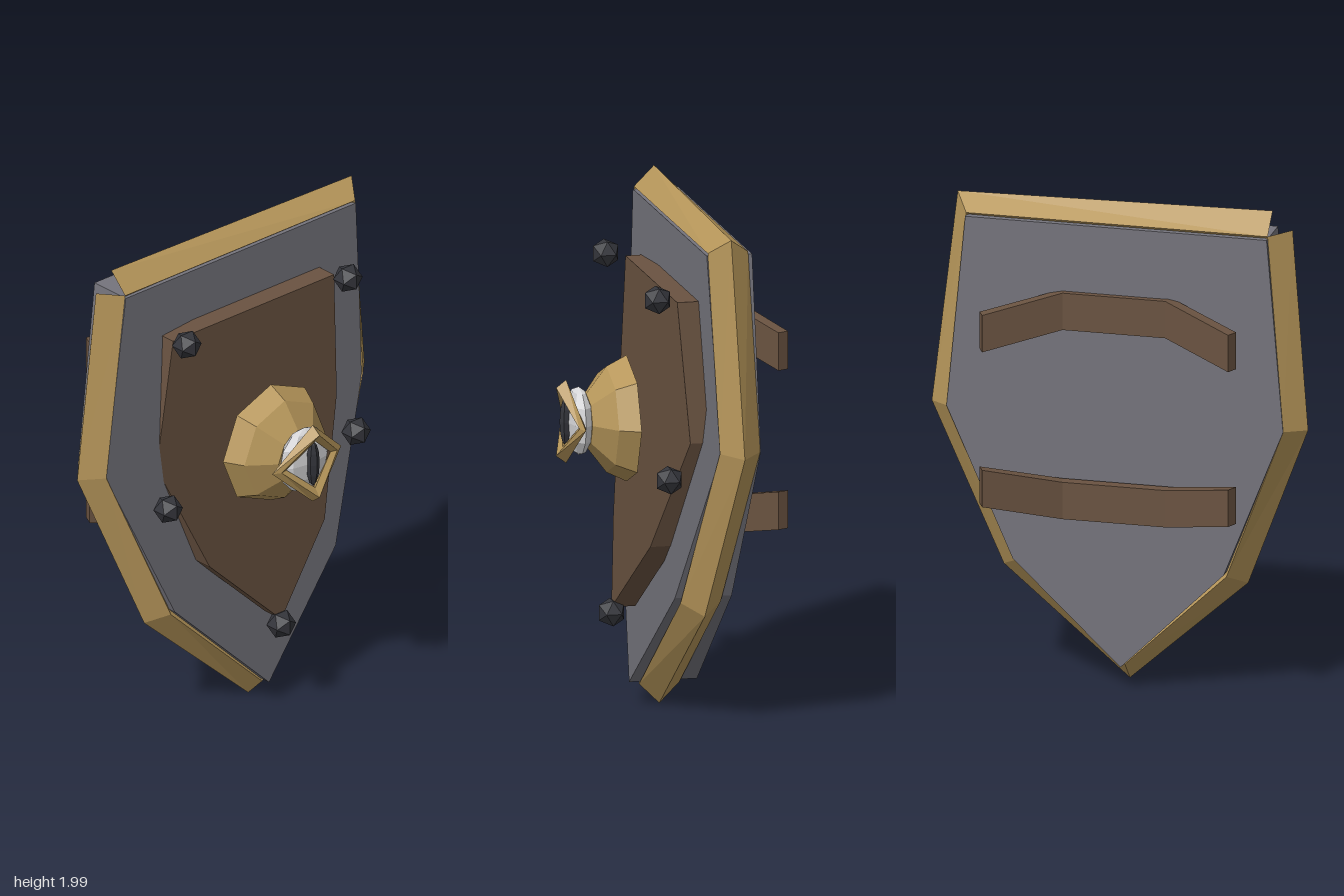
import * as THREE from 'three';

const paint = (name, color) => {
  const m = new THREE.MeshStandardMaterial({ color });
  m.name = name;
  return m;
};

// Faceted copy of a geometry: one normal per face
function faceted(geo) {
  const g = geo.index ? geo.toNonIndexed() : geo;
  g.computeVertexNormals();
  return g;
}

// Skin over rings of points; each ring turns counter-clockwise about the travel direction
function loft(rings, closed = false, caps = false) {
  const pos = [];
  const tri = (...pts) => pts.forEach(p => pos.push(p.x, p.y, p.z));
  const n = rings[0].length;
  const count = closed ? rings.length : rings.length - 1;
  for (let i = 0; i < count; i++) {
    const a = rings[i], b = rings[(i + 1) % rings.length];
    for (let j = 0; j < n; j++) {
      const k = (j + 1) % n;
      tri(a[j], a[k], b[k]);
      tri(a[j], b[k], b[j]);
    }
  }
  if (caps) {
    const s = rings[0], e = rings[rings.length - 1];
    for (let j = 1; j < n - 1; j++) {
      tri(s[0], s[j + 1], s[j]);
      tri(e[0], e[j], e[j + 1]);
    }
  }
  const g = new THREE.BufferGeometry();
  g.setAttribute('position', new THREE.Float32BufferAttribute(pos, 3));
  g.computeVertexNormals();
  return g;
}

// Shield-shaped plate from half an outline [z, y], bent backwards towards its sides
function bentPlate(half, back, front, backBend, frontBend) {
  const mirrored = half.slice(0, -1).reverse().map(([z, y]) => [-z, y]);
  const shape = new THREE.Shape([...half, ...mirrored].map(p => new THREE.Vector2(...p)));
  const g = new THREE.ExtrudeGeometry(shape, { depth: 1, bevelEnabled: false });
  g.rotateY(Math.PI / 2);
  const p = g.attributes.position;
  for (let i = 0; i < p.count; i++) {
    const z2 = p.getZ(i) ** 2;
    p.setX(i, p.getX(i) > 0.5 ? front - frontBend * z2 : back - backBend * z2);
  }
  return g;
}

// Open diamond-section moulding that follows the shield edge
function rimGeometry() {
  const path = [[0.6, 1.92], [-0.6, 1.92], [-0.67, 1.14], [-0.42, 0.5], [0, 0.09],
    [0.42, 0.5], [0.67, 1.14], [0.6, 1.92]].map(([z, y]) => new THREE.Vector3(0, y, z));
  const X = new THREE.Vector3(1, 0, 0), r = 0.08;
  const rings = path.map((p, i) => {
    const t = new THREE.Vector3();
    if (i > 0) t.add(p.clone().sub(path[i - 1]).normalize());
    if (i < path.length - 1) t.add(path[i + 1].clone().sub(p).normalize());
    const n = X.clone().cross(t.normalize());
    const c = p.clone().setX(-0.01 - 0.35 * p.z * p.z);
    return [n, X, n.clone().negate(), X.clone().negate()]
      .map(d => c.clone().addScaledVector(d, r));
  });
  return loft(rings);
}

// Arm strap: flat against the back in the middle, both ends standing away
function strapGeometry(midY, endY) {
  const stops = [[-0.5, -0.38, endY, 0.9, -0.43], [-0.21, -0.24, midY, 1, -0.22],
    [0.21, -0.24, midY, 1, 0.22], [0.5, -0.38, endY, 0.9, 0.43]];
  const t = 0.024, h = 0.075;
  return loft(stops.map(([z, x, y, nx, nz]) =>
    [[1, -1], [1, 1], [-1, 1], [-1, -1]].map(([s, v]) =>
      new THREE.Vector3(x + s * t * nx, y + v * h, z + s * t * nz))), false, true);
}

// Lozenge eyelid frame; sections are [distance from centre, x]
function eyelidGeometry(cy) {
  const side = [[0.18, 0.325], [0.145, 0.342], [0.115, 0.335], [0.14, 0.315]];
  const tip = [[0.165, 0.36], [0.135, 0.4], [0.1, 0.375], [0.13, 0.35]];
  const ring = (section, dy, dz) =>
    section.map(([d, x]) => new THREE.Vector3(x, cy + d * dy, d * dz));
  return loft([ring(side, 0, 1), ring(tip, 1, 0), ring(side, 0, -1), ring(tip, -1, 0)], true);
}

export function createModel() {
  const steel = paint('steel', 0x75747c);
  const wood = paint('brown wood', 0x6a5341);
  const gold = paint('gold', 0xb6965a);
  const white = paint('eye white', 0xd6d6d8);
  const iron = paint('dark iron', 0x34353b);

  const shield = new THREE.Group();
  shield.name = 'shield';
  const add = (name, geo, mat, x = 0, y = 0, z = 0) => {
    const m = new THREE.Mesh(geo, mat);
    m.name = name;
    m.position.set(x, y, z);
    shield.add(m);
    return m;
  };

  // Body, panel and edge
  add('bodyPlate', bentPlate([[0.6, 1.91], [0.67, 1.14], [0.42, 0.52], [0, 0.1]],
    -0.16, 0.11, 0.2, 0.45), steel);
  add('frontPanel', bentPlate([[0.42, 1.69], [0.47, 1.14], [0.3, 0.7], [0, 0.4]],
    0.085, 0.18, 0.9, 0.9), wood);
  add('rim', rimGeometry(), gold);

  // Arm straps
  add('upperStrap', strapGeometry(1.565, 1.495), wood);
  add('lowerStrap', strapGeometry(0.795, 0.865), wood);

  // Central boss
  const cy = 1.145;
  const profile = [[0, 0.12], [0.25, 0.12], [0.21, 0.2], [0.105, 0.28], [0, 0.28]];
  const boss = new THREE.LatheGeometry(profile.map(p => new THREE.Vector2(...p)), 8);
  add('boss', faceted(boss.rotateZ(-Math.PI / 2)), gold, 0, cy);

  // Eye set into the boss
  const ball = new THREE.SphereGeometry(1, 8, 6).scale(0.05, 0.135, 0.125);
  add('eyeball', faceted(ball), white, 0.31, cy);
  const slit = new THREE.SphereGeometry(1, 6, 6).scale(0.024, 0.095, 0.028);
  add('pupil', faceted(slit), iron, 0.362, cy);
  add('eyelids', eyelidGeometry(cy), gold);

  // Studs
  const stud = new THREE.IcosahedronGeometry(0.058, 0).rotateY(Math.PI / 2);
  for (const [x, y, z] of [[0.1, 1.705, 0.42], [0.1, 1.705, -0.42],
    [0.07, 1.005, 0.49], [0.07, 1.005, -0.49], [0.18, 0.38, 0]]) {
    add('stud', stud, iron, x, y, z);
  }
  return shield;
}
